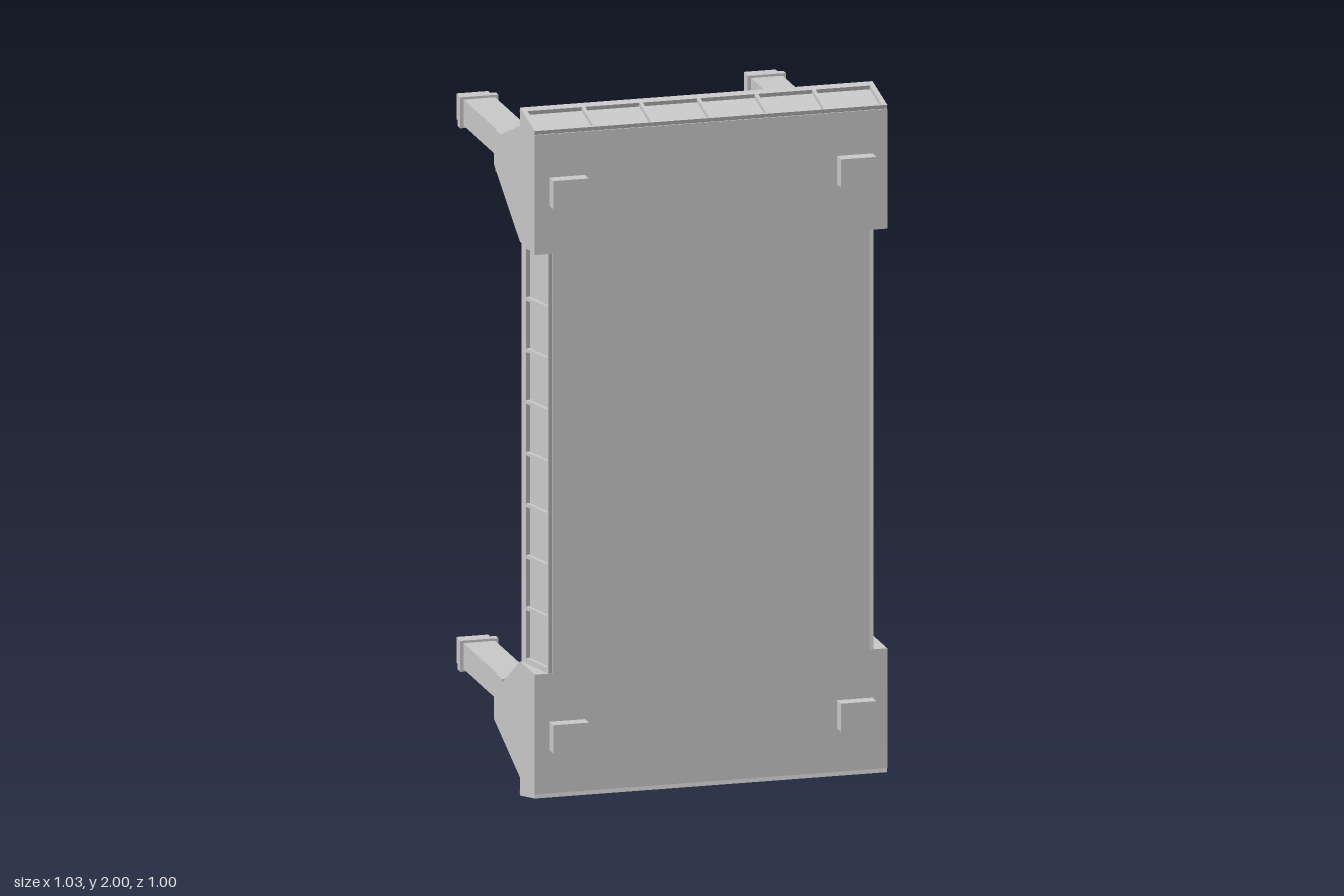
import * as THREE from 'three';

const material = new THREE.MeshStandardMaterial({ color: 0xcccccc, flatShading: true });
const MID = 1;        // height of the symmetry plane
const INSET = 0.012;  // depth of the recessed edge panels

// Six-sided block between two rectangles [x0, x1, y0, y1, z], y measured from the middle.
function block(name, back, front, sx = 1, sy = 1) {
  const geo = new THREE.BoxGeometry(1, 1, 1);
  const pos = geo.attributes.position;
  for (let i = 0; i < pos.count; i++) {
    const r = pos.getZ(i) > 0 ? front : back;
    const x = r[pos.getX(i) * sx > 0 ? 1 : 0] * sx;
    const y = r[pos.getY(i) * sy > 0 ? 3 : 2] * sy;
    pos.setXYZ(i, x, y + MID, r[4]);
  }
  geo.computeVertexNormals();
  const mesh = new THREE.Mesh(geo, material);
  mesh.name = name;
  return mesh;
}

const bar = (name, x0, x1, y0, y1, z0, z1, sx, sy) =>
  block(name, [x0, x1, y0, y1, z0], [x0, x1, y0, y1, z1], sx, sy);

function rectangle(Type, x0, x1, y0, y1) {
  return new Type([[x0, y0], [x1, y0], [x1, y1], [x0, y1]].map(p => new THREE.Vector2(...p)));
}

// Sloping frame with a row of rectangular openings, facing outward along (ox, oy).
function edgeFrame(name, ox, oy, half, cells, hFront, hBack) {
  const out = new THREE.Vector3(ox, oy, 0);
  const along = new THREE.Vector3(oy, -ox, 0);
  const slope = out.clone().multiplyScalar(hBack - hFront).add(new THREE.Vector3(0, 0, -0.15));
  const width = slope.length();
  slope.normalize();
  const normal = along.clone().cross(slope);
  const shape = rectangle(THREE.Shape, -half, half, 0, width);
  const pitch = (2 * half - 0.02) / cells;
  for (let i = 0; i < cells; i++) {
    const a = -half + 0.01 + i * pitch;
    shape.holes.push(rectangle(THREE.Path, a + 0.005, a + pitch - 0.005, 0.005, width - 0.026));
  }
  const geo = new THREE.ExtrudeGeometry(shape, { depth: INSET, bevelEnabled: false });
  geo.translate(0, 0, -INSET);
  const origin = out.multiplyScalar(hFront).add(new THREE.Vector3(0, MID, 0.46));
  geo.applyMatrix4(new THREE.Matrix4().makeBasis(along, slope, normal).setPosition(origin));
  const mesh = new THREE.Mesh(geo, material);
  mesh.name = name;
  return mesh;
}

export function createModel() {
  const model = new THREE.Group();
  model.name = 'table';

  // Slab between the end blocks, flaring toward the back
  const xf = 0.475 - INSET, xb = 0.51 - INSET;
  model.add(block('slab', [-xb, xb, -0.61, 0.61, 0.31], [-xf, xf, -0.61, 0.61, 0.46]));

  for (const s of [1, -1]) {
    model.add(edgeFrame('sideFrame', s, 0, 0.61, 8, 0.475, 0.51));
    model.add(edgeFrame('endFrame', 0, s, 0.515, 6, 0.97, 1.0));

    // Wider end of the slab and the rail joining two legs
    model.add(block('endBlock',
      [-0.515, 0.515, 0.61, 1.0 - INSET, 0.31],
      [-0.515, 0.515, 0.61, 0.97 - INSET, 0.46], 1, s));
    model.add(bar('crossRail', -0.493, 0.493, 0.73, 0.85, -0.012, 0.05, 1, s));

    for (const sx of [1, -1]) {
      const corner = new THREE.Group();
      corner.name = 'legAssembly';
      corner.add(
        block('bracket',
          [0.347, 0.515, 0.765, 0.846, 0.05],
          [0.297, 0.515, 0.61, 0.947, 0.31], sx, s),
        // Tapered plate raised on the bracket slope
        block('bracketPlate',
          [0.367, 0.463, 0.84, 0.87, 0.092],
          [0.39, 0.447, 0.92, 0.968, 0.297], sx, s),
        bar('leg', 0.374, 0.466, 0.752, 0.828, -0.5, -0.012, sx, s),
        bar('legCollar', 0.364, 0.476, 0.745, 0.835, -0.455, -0.43, sx, s),
        bar('peg', 0.368, 0.472, 0.75, 0.832, 0.46, 0.5, sx, s),
      );
      model.add(corner);
    }
  }
  return model;
}
